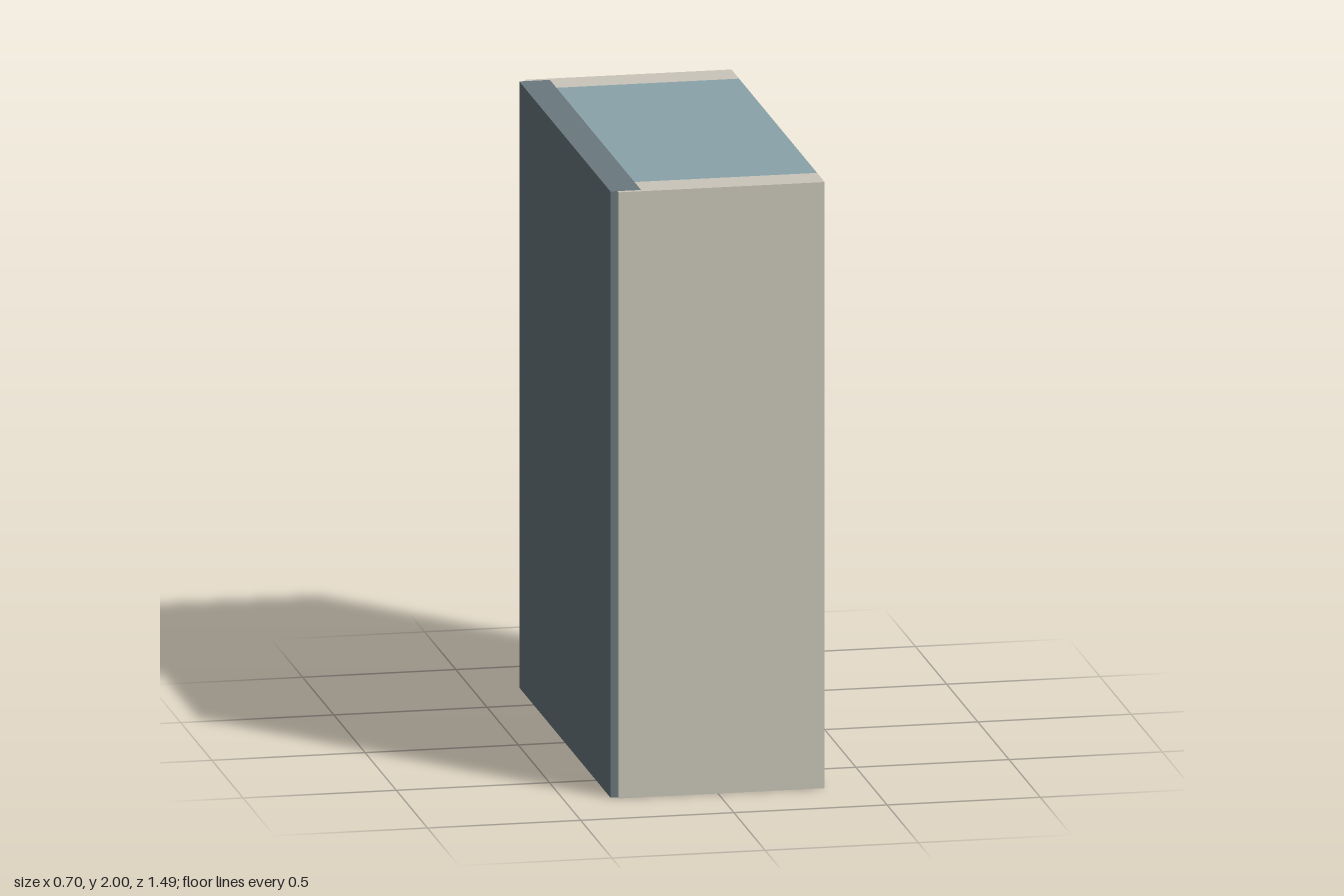
import * as THREE from 'three';

const tan = new THREE.MeshStandardMaterial({ name: 'warm grey side', color: 0xc9c5b9 });
const blue = new THREE.MeshStandardMaterial({ name: 'blue grey shelf', color: 0x8aa3aa });
const slate = new THREE.MeshStandardMaterial({ name: 'slate back', color: 0x6a787e });

const FRONT = 0.348, BACK = -0.348, PANEL_FRONT = -0.248, SIDE_BACK = -0.325;
const HEIGHT = 2, OUTER = 0.747, INNER = 0.625, PANEL_HALF = 0.73;

// Box given by its limits in x and y, centred on z = 0
function slab(name, material, x0, x1, y0, y1, halfDepth) {
  const mesh = new THREE.Mesh(new THREE.BoxGeometry(x1 - x0, y1 - y0, halfDepth * 2), material);
  mesh.position.set((x0 + x1) / 2, (y0 + y1) / 2, 0);
  mesh.name = name;
  return mesh;
}

// Upright side wall with a rebate at the rear that receives the back panel
function sideWall(name, s) {
  const outline = [
    [FRONT, INNER], [FRONT, OUTER], [SIDE_BACK, OUTER],
    [SIDE_BACK, PANEL_HALF], [PANEL_FRONT, PANEL_HALF], [PANEL_FRONT, INNER],
  ];
  const shape = new THREE.Shape(outline.map(([x, z]) => new THREE.Vector2(x, -s * z)));
  const geometry = new THREE.ExtrudeGeometry(shape, { depth: HEIGHT, bevelEnabled: false });
  geometry.rotateX(-Math.PI / 2);
  const mesh = new THREE.Mesh(geometry, tan);
  mesh.name = name;
  return mesh;
}

export function createModel() {
  const model = new THREE.Group();
  model.name = 'bookcase';

  model.add(sideWall('sideWallFront', 1), sideWall('sideWallRear', -1));
  model.add(slab('backPanel', slate, BACK, PANEL_FRONT, 0, HEIGHT, PANEL_HALF));

  // Shelves from bottom to top
  const shelves = [['bottomShelf', 0.05, 0.197], ['middleShelf', 0.953, 1.1], ['topShelf', 1.857, HEIGHT]];
  for (const [name, y0, y1] of shelves) {
    model.add(slab(name, blue, PANEL_FRONT, FRONT, y0, y1, INNER));
  }
  return model;
}
